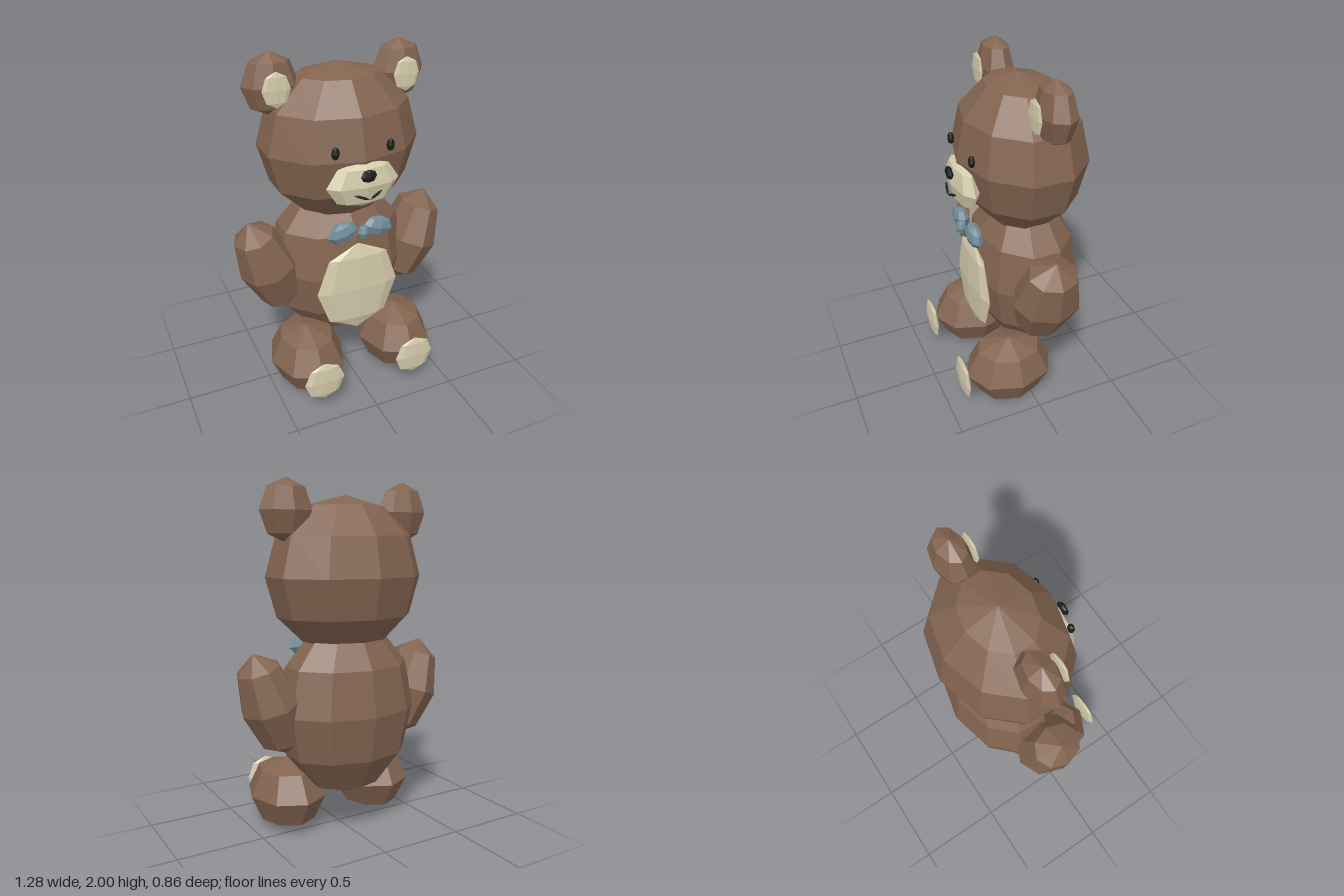
import * as THREE from 'three';

const make = (name, color) => {
  const m = new THREE.MeshStandardMaterial({ color });
  m.name = name;
  return m;
};

export function createModel() {
  const bear = new THREE.Group();
  bear.name = 'teddyBear';
  const fur = make('brown fur', 0x836450);
  const cream = make('cream', 0xd6cdad);
  const black = make('black', 0x1b1d17);
  const blue = make('dusty blue', 0x708c99);

  // Faceted ellipsoid with a vertex line facing the front
  function blob(name, mat, pos, radii, { w = 8, h = 4, turn = 0, lean = 0 } = {}) {
    const g = new THREE.SphereGeometry(1, w, h);
    g.rotateY(Math.PI / 2);
    g.scale(...radii);
    const flat = g.toNonIndexed();
    flat.computeVertexNormals(); // one normal per face
    const mesh = new THREE.Mesh(flat, mat);
    mesh.name = name;
    mesh.position.set(...pos);
    mesh.rotation.set(0, turn, lean);
    bear.add(mesh);
  }

  // Trunk and head
  blob('body', fur, [0, 0.73, -0.09], [0.425, 0.51, 0.31], { w: 10, h: 6 });
  blob('head', fur, [0, 1.48, -0.07], [0.462, 0.44, 0.36], { w: 10, h: 6 });
  blob('bellyPatch', cream, [0, 0.67, 0.213], [0.25, 0.29, 0.038]);

  // Face
  blob('muzzle', cream, [0, 1.35, 0.262], [0.21, 0.135, 0.067]);
  blob('nose', black, [0, 1.418, 0.333], [0.046, 0.036, 0.02]);

  // Bow knot
  blob('bowKnot', blue, [0, 1.063, 0.278], [0.034, 0.04, 0.033]);

  // Mirrored parts
  for (const [side, s] of [['left', 1], ['right', -1]]) {
    blob(side + 'Ear', fur, [s * 0.37, 1.83, -0.092], [0.157, 0.17, 0.1]);
    blob(side + 'InnerEar', cream, [s * 0.37, 1.825, 0.015], [0.078, 0.095, 0.013]);
    blob(side + 'Eye', black, [s * 0.156, 1.54, 0.262], [0.024, 0.035, 0.019]);
    blob(side + 'Mouth', black, [s * 0.041, 1.305, 0.336], [0.046, 0.008, 0.007],
      { turn: s * 0.25, lean: s * 0.36 });
    blob(side + 'BowWing', blue, [s * 0.107, 1.063, 0.243], [0.09, 0.06, 0.045], { lean: -s * 0.25 });
    blob(side + 'Arm', fur, [s * 0.457, 0.788, -0.04], [0.17, 0.308, 0.2], { lean: -s * 0.33 });
    blob(side + 'Foot', fur, [s * 0.29, 0.21, 0.115], [0.224, 0.21, 0.27]);
    blob(side + 'Sole', cream, [s * 0.29, 0.213, 0.405], [0.122, 0.126, 0.021]);
  }

  return bear;
}
